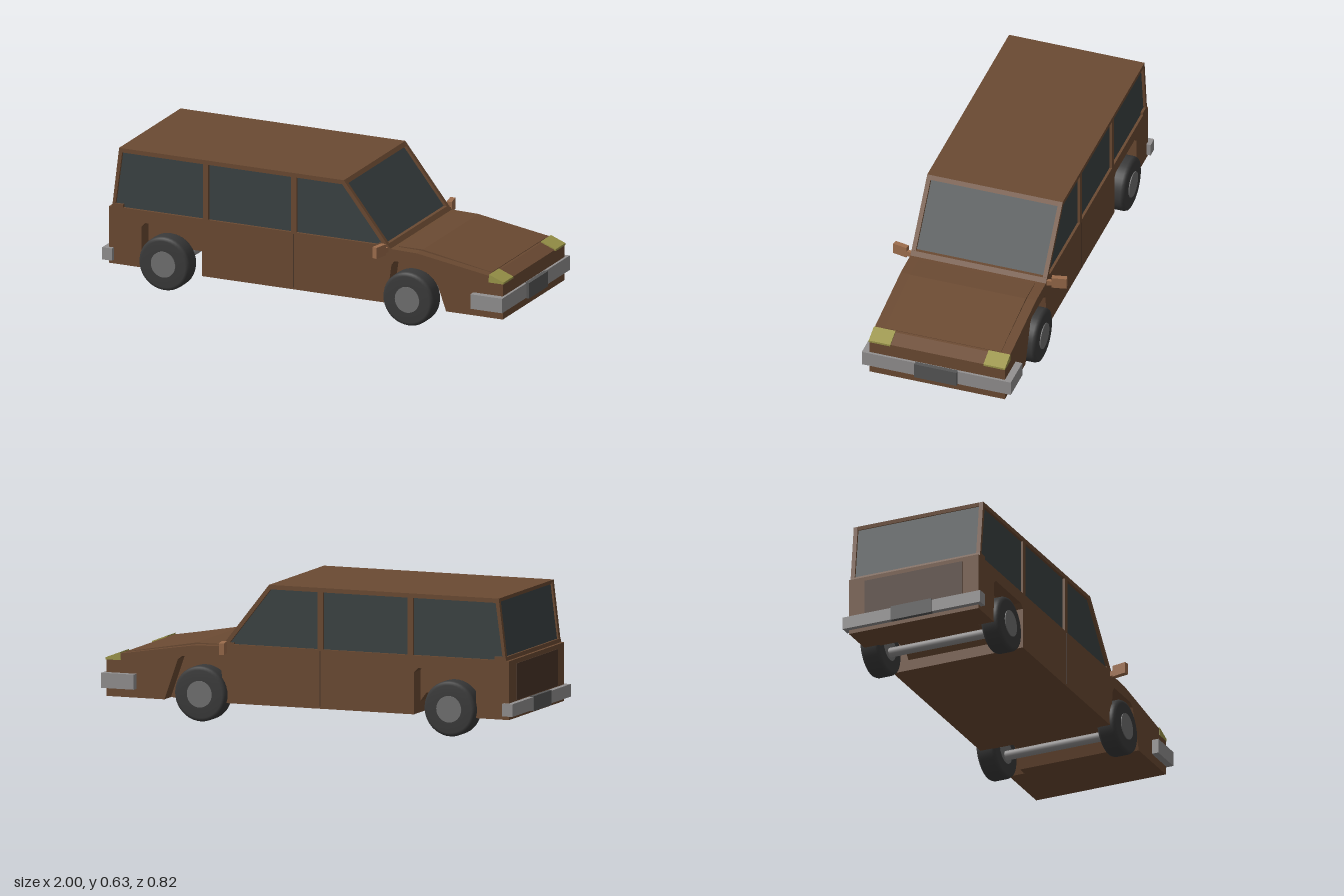
import * as THREE from 'three';

const mat = (color, extra = {}) => new THREE.MeshStandardMaterial({ color, ...extra });
const paint = mat(0x6b4a32, { flatShading: true });
const darkPaint = mat(0x4a3528);
const mirrorPaint = mat(0x9c6d4c);
const glass = mat(0x3b4243);
const rubber = mat(0x3a3a3a);
const hubGrey = mat(0x707070);
const chrome = mat(0x929090);
const plateGrey = mat(0x565656);
const lampYellow = mat(0x9c964a);

const HALF = 0.32; // half width of the body
const INNER = 0.245; // inner face of the wheel wells

export function createModel() {
  const car = new THREE.Group();
  car.name = 'stationWagon';

  const add = (name, geometry, material, x = 0, y = 0, z = 0) => {
    const mesh = new THREE.Mesh(geometry, material);
    mesh.name = name;
    mesh.position.set(x, y, z);
    car.add(mesh);
    return mesh;
  };
  const box = (name, material, [x0, x1], [y0, y1], [z0, z1]) =>
    add(name, new THREE.BoxGeometry(x1 - x0, y1 - y0, z1 - z0), material,
      (x0 + x1) / 2, (y0 + y1) / 2, (z0 + z1) / 2);
  const shapeOf = (points) => new THREE.Shape(points.map(([x, y]) => new THREE.Vector2(x, y)));
  // Side profile extruded across the car from z0 to z1
  const slab = (name, material, shape, z0, z1) =>
    add(name, new THREE.ExtrudeGeometry(shape, { depth: z1 - z0, bevelEnabled: false }), material, 0, 0, z0);

  // Lower body: core with low axle tunnels, outer skins with full wheel arches
  const bodyShape = (rearArch, frontArch) => shapeOf([
    [-0.97, 0.09], ...rearArch, ...frontArch, [0.975, 0.09], [0.975, 0.26], [0.91, 0.285],
    [0.55, 0.342], [0.41, 0.345], [0.40, 0.355], [-0.97, 0.355],
  ]);
  slab('bodyCore', paint, bodyShape(
    [[-0.8, 0.09], [-0.8, 0.18], [-0.54, 0.18], [-0.51, 0.14], [-0.51, 0.09]],
    [[0.4, 0.09], [0.4, 0.18], [0.62, 0.18], [0.65, 0.09]]), -INNER, INNER);
  const skin = bodyShape(
    [[-0.81, 0.09], [-0.81, 0.28], [-0.79, 0.3], [-0.53, 0.3], [-0.51, 0.28], [-0.51, 0.09]],
    [[0.4, 0.09], [0.425, 0.27], [0.44, 0.29], [0.61, 0.29], [0.63, 0.275], [0.695, 0.09]]);

  // Cabin: glass core, pillared side frames, roof and sills
  slab('cabinGlass', glass, shapeOf(
    [[-0.947, 0.35], [0.4, 0.35], [0.183, 0.625], [-0.912, 0.625]]), -0.308, 0.308);
  const frame = shapeOf([[-0.955, 0.35], [0.415, 0.35], [0.19, 0.635], [-0.92, 0.635]]);
  const windows = [
    [[-0.94, 0.357], [-0.505, 0.357], [-0.505, 0.615], [-0.905, 0.615]],
    [[-0.48, 0.357], [-0.07, 0.357], [-0.07, 0.615], [-0.48, 0.615]],
    [[-0.045, 0.357], [0.385, 0.357], [0.182, 0.615], [-0.045, 0.615]],
  ];
  windows.forEach((w) => frame.holes.push(shapeOf(w)));
  slab('roof', paint, shapeOf(
    [[-0.918, 0.618], [0.203, 0.618], [0.19, 0.635], [-0.92, 0.635]]), -HALF, HALF);
  slab('windscreenSill', paint, shapeOf([[0.36, 0.345], [0.42, 0.345], [0.405, 0.364], [0.36, 0.364]]), -HALF, HALF);
  slab('rearWindowSill', paint, shapeOf([[-0.958, 0.35], [-0.9, 0.35], [-0.9, 0.372], [-0.953, 0.372]]), -HALF, HALF);

  // Raised bonnet panel
  slab('bonnet', paint, shapeOf(
    [[0.44, 0.34], [0.9, 0.28], [0.9, 0.289], [0.56, 0.348], [0.44, 0.348]]), -0.275, 0.275);

  // Tailgate panel
  box('tailgate', darkPaint, [-0.974, -0.96], [0.17, 0.335], [-0.24, 0.24]);

  // Bumpers with wrapped ends, and number plates
  box('frontBumper', chrome, [0.96, 0.987], [0.13, 0.198], [-0.352, 0.352]);
  box('rearBumper', chrome, [-0.994, -0.96], [0.108, 0.165], [-0.34, 0.34]);
  box('frontPlate', plateGrey, [0.98, 1.0], [0.128, 0.2], [-0.1, 0.1]);
  box('rearPlate', plateGrey, [-1.0, -0.98], [0.103, 0.17], [-0.1, 0.1]);

  // Axles
  for (const x of [-0.69, 0.515]) {
    add('axle', new THREE.CylinderGeometry(0.022, 0.022, 0.56, 20), chrome, x, 0.102, 0)
      .rotation.x = Math.PI / 2;
  }

  // Tyre profile turned about the axle
  const tyreProfile = [[0.05, -0.047], [0.108, -0.047], [0.12, -0.042], [0.125, -0.03],
    [0.125, 0.03], [0.12, 0.042], [0.108, 0.047], [0.05, 0.047]]
    .map(([r, h]) => new THREE.Vector2(r, h));

  for (const s of [1, -1]) {
    const span = (a, b) => (s > 0 ? [a, b] : [-b, -a]);
    slab('sideSkin', paint, skin, ...span(INNER, HALF));
    slab('sideWindowFrame', paint, frame, ...span(0.3, HALF));
    box('doorSeam', darkPaint, [-0.06, -0.055], [0.1, 0.35], span(0.315, 0.3215));

    for (const x of [-0.69, 0.515]) {
      add('tyre', new THREE.LatheGeometry(tyreProfile, 40), rubber, x, 0.127, s * 0.298)
        .rotation.x = Math.PI / 2;
      add('hub', new THREE.CylinderGeometry(0.06, 0.06, 0.1, 32), hubGrey, x, 0.127, s * 0.299)
        .rotation.x = Math.PI / 2;
    }

    // Headlamp lying on the sloping nose
    slab('headlamp', lampYellow, shapeOf(
      [[0.905, 0.255], [0.98, 0.255], [0.98, 0.264], [0.908, 0.292]]), ...span(0.22, 0.322));

    box('frontBumperEnd', chrome, [0.83, 0.987], [0.13, 0.198], span(0.318, 0.352));
    box('rearBumperEnd', chrome, [-0.994, -0.945], [0.108, 0.165], span(0.315, 0.34));

    // Door mirror on a short stalk
    const stalk = box('mirrorStalk', mirrorPaint, [0.392, 0.408], [0.328, 0.352], span(0.31, 0.35));
    stalk.rotation.y = -s * 0.2;
    const mirror = box('mirror', mirrorPaint, [0.378, 0.402], [0.32, 0.372], span(0.34, 0.408));
    mirror.rotation.y = -s * 0.2;
  }
  return car;
}
